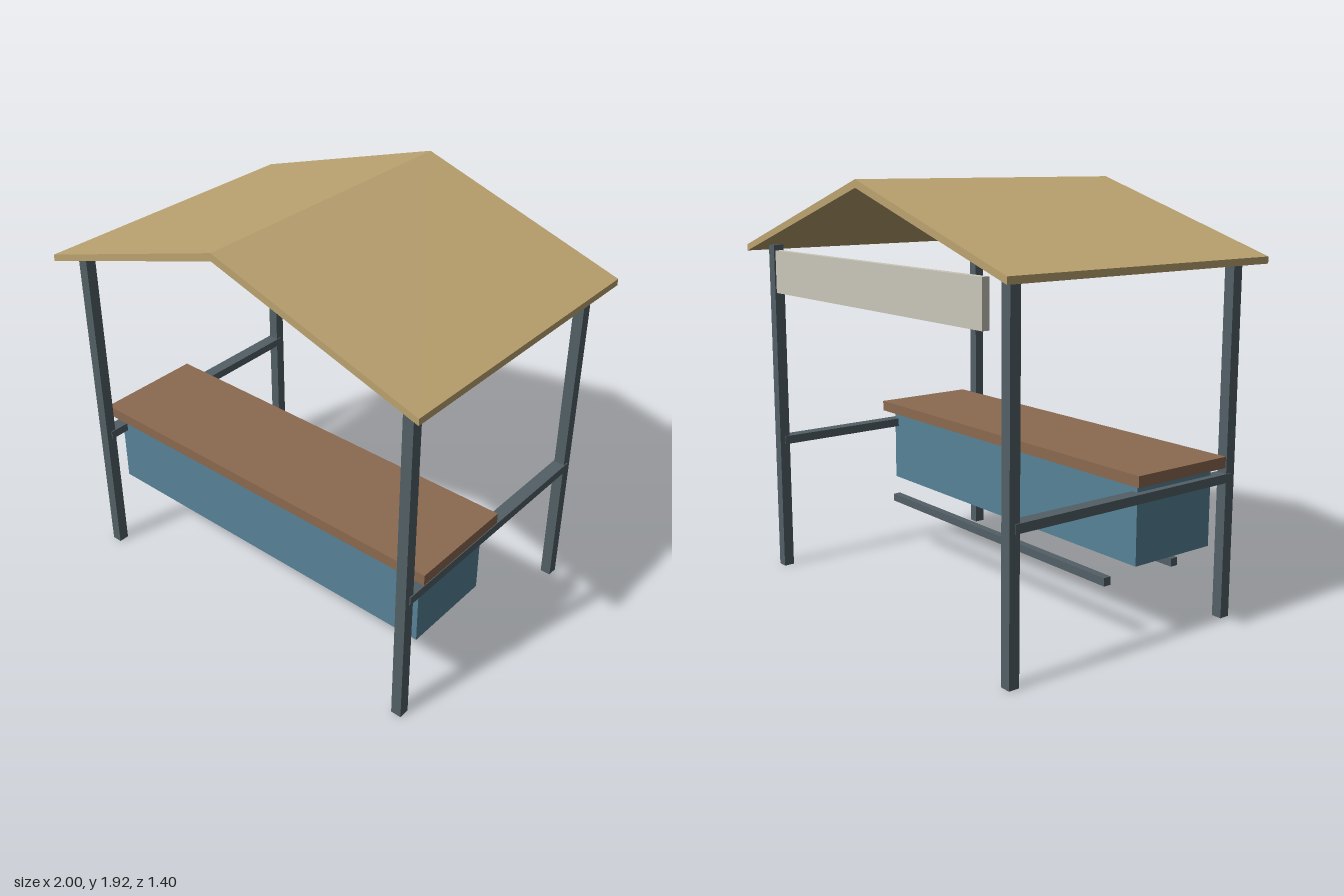
import * as THREE from 'three';

const material = (name, color) => {
  const m = new THREE.MeshStandardMaterial({ color });
  m.name = name;
  return m;
};

export function createModel() {
  const group = new THREE.Group();
  const metal = material('slate metal', 0x526066);
  const wood = material('brown wood', 0x8b694f);
  const blue = material('blue panel', 0x578296);
  const tan = material('tan roof', 0xbca370);
  const cream = material('cream board', 0xcac6b9);

  // Box given by its size and centre
  const box = (name, mat, size, centre) => {
    const mesh = new THREE.Mesh(new THREE.BoxGeometry(...size), mat);
    mesh.name = name;
    mesh.position.set(...centre);
    group.add(mesh);
  };

  // Corner posts and side rails
  for (const [side, x] of [['left', 0.9], ['right', -0.9]]) {
    box(`${side}FrontPost`, metal, [0.05, 1.6, 0.05], [x, 0.8, 0.6]);
    box(`${side}BackPost`, metal, [0.05, 1.6, 0.05], [x, 0.8, -0.6]);
    box(`${side}SideRail`, metal, [0.06, 0.04, 1.2], [x, 0.643, 0]);
  }

  // Counter with its cabinet
  box('counterTop', wood, [1.9, 0.05, 0.52], [0, 0.725, 0.28]);
  box('counterCabinet', blue, [1.8, 0.355, 0.44], [0, 0.5225, 0.283]);

  // Low bars under the cabinet
  box('frontLowBar', metal, [1.6, 0.037, 0.037], [0, 0.266, 0.4]);
  box('backLowBar', metal, [1.6, 0.037, 0.037], [0, 0.266, 0]);

  // Blank board across the back
  box('backBoard', cream, [1.6, 0.2, 0.033], [0, 1.48, -0.64]);

  // Gabled roof: a folded sheet swept from back to front
  const gable = new THREE.Shape([
    [-1, 1.57], [0, 1.885], [1, 1.57], [1, 1.6], [0, 1.92], [-1, 1.6],
  ].map(([x, y]) => new THREE.Vector2(x, y)));
  const roof = new THREE.Mesh(
    new THREE.ExtrudeGeometry(gable, { depth: 1.4, bevelEnabled: false }), tan);
  roof.name = 'gableRoof';
  roof.position.z = -0.7;
  group.add(roof);

  return group;
}
